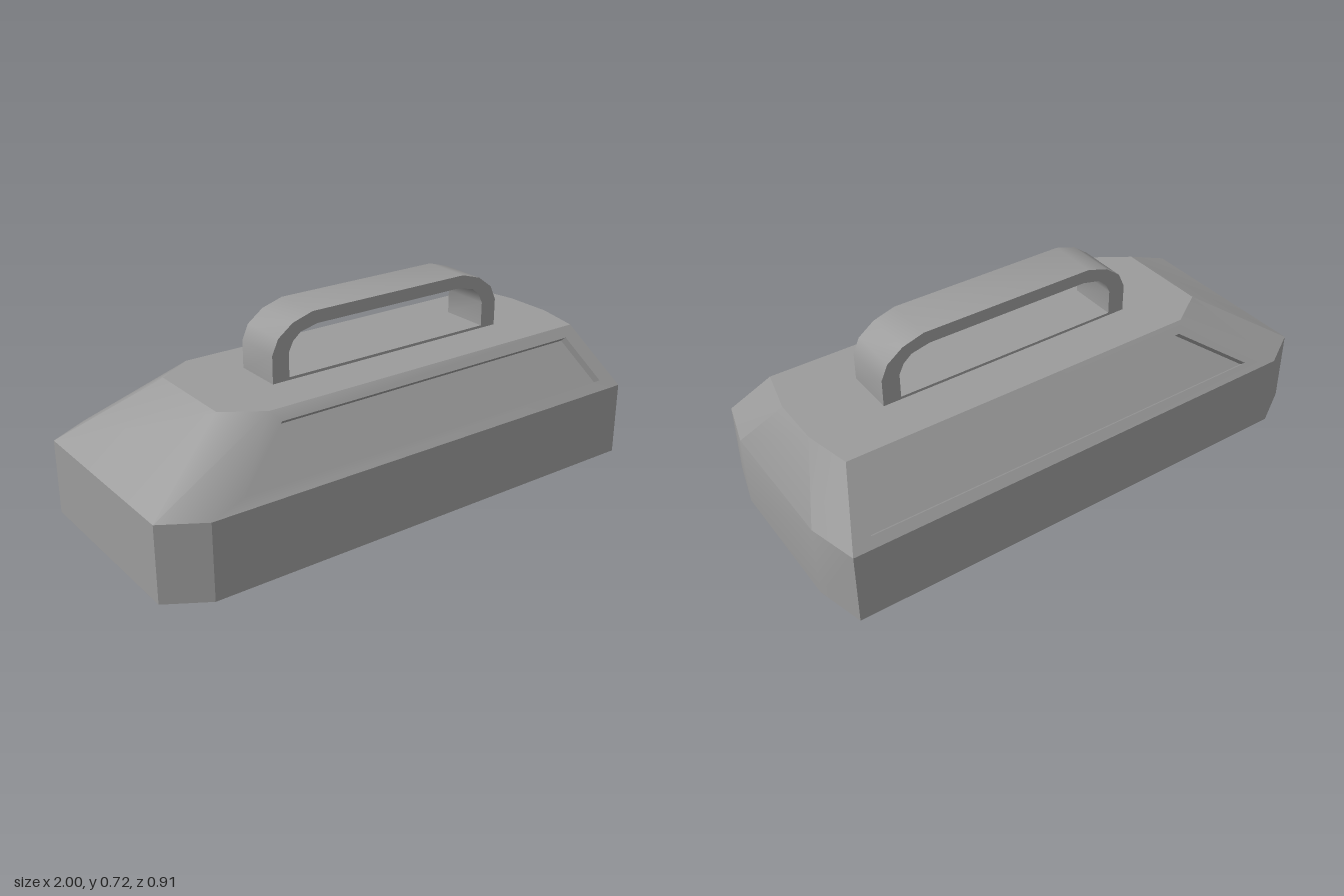
import * as THREE from 'three';
import { toCreasedNormals } from 'three/addons/utils/BufferGeometryUtils.js';

const CREASE = Math.PI / 6;
const SHOULDER = 0.28, TOP = 0.494;
const WIDE_Z = 0.456, NARROW_Z = 0.272;

// Closed outline from its front half, mirrored to the back
const mirrorRing = (half) => [...half, ...half.map(([x, z]) => [x, -z]).reverse()];
const ringAt = (ring, y) => ring.map(([x, z]) => new THREE.Vector3(x, y, z));

function buildBody() {
  const positions = [];
  const polygon = (pts) => {
    for (let i = 1; i < pts.length - 1; i++)
      for (const p of [pts[0], pts[i], pts[i + 1]]) positions.push(p.x, p.y, p.z);
  };
  // Strip of quads joining two closed loops
  const band = (a, b, each = polygon) => a.forEach((p, i) => {
    const j = (i + 1) % a.length;
    each([p, a[j], b[j], b[i]], i);
  });

  const wide = mirrorRing([[-1, 0.365], [-0.85, WIDE_Z], [0.952, WIDE_Z], [1, 0.27]]);
  const narrow = mirrorRing([[-0.66, 0.18], [-0.52, NARROW_Z], [0.858, NARROW_Z], [0.897, 0.095]]);
  const base = ringAt(wide, 0), shoulder = ringAt(wide, SHOULDER), top = ringAt(narrow, TOP);

  // Sloped long side with a sunken panel
  const recessedSide = (outer, side) => {
    let corners = [[-0.72, 0.31], [0.872, 0.31], [0.807, 0.46], [-0.49, 0.46]];
    if (side < 0) corners = [1, 0, 3, 2].map((i) => corners[i]);
    const rim = corners.map(([x, y]) => {
      const t = (y - SHOULDER) / (TOP - SHOULDER);
      return new THREE.Vector3(x, y, side * THREE.MathUtils.lerp(WIDE_Z, NARROW_Z, t));
    });
    const inward = new THREE.Vector3(0, -0.648, -0.762 * side).multiplyScalar(0.03);
    const floor = rim.map((p) => p.clone().add(inward));
    band(outer, rim);
    band(rim, floor);
    polygon(floor);
  };

  band(base, shoulder);
  band(shoulder, top, (quad, i) => {
    if (i === 1) recessedSide(quad, 1);
    else if (i === 5) recessedSide(quad, -1);
    else polygon(quad);
  });
  polygon(top);
  polygon([...base].reverse());

  const geometry = new THREE.BufferGeometry();
  geometry.setAttribute('position', new THREE.Float32BufferAttribute(positions, 3));
  return toCreasedNormals(geometry, CREASE);
}

// Counterclockwise arch with faceted round shoulders; bend gives [inset, y] pairs
function archPoints(half, bottom, bend) {
  const right = [[half, bottom], ...bend.map(([inset, y]) => [half - inset, y])];
  const left = right.map(([x, y]) => [-x, y]).reverse();
  return [...right, ...left].map(([x, y]) => new THREE.Vector2(x + 0.116, y));
}

function buildHandle() {
  const width = 0.19;
  const outer = [[0, 0.597], [0.025, 0.652], [0.085, 0.697], [0.167, 0.722]];
  const inner = [[0, 0.595], [0.018, 0.632], [0.05, 0.659], [0.12, 0.675]];
  const shape = new THREE.Shape(archPoints(0.506, TOP - 0.005, outer));
  shape.holes.push(new THREE.Path(archPoints(0.439, TOP + 0.01, inner).reverse()));
  const geometry = new THREE.ExtrudeGeometry(shape, { depth: width, bevelEnabled: false });
  geometry.translate(0, 0, -width / 2);
  return toCreasedNormals(geometry, CREASE);
}

export function createModel() {
  const group = new THREE.Group();
  const material = new THREE.MeshStandardMaterial({ color: 0x9b9b9b });
  const add = (name, geometry) => {
    const mesh = new THREE.Mesh(geometry, material);
    mesh.name = name;
    group.add(mesh);
  };
  add('body', buildBody());
  add('handle', buildHandle());
  return group;
}
